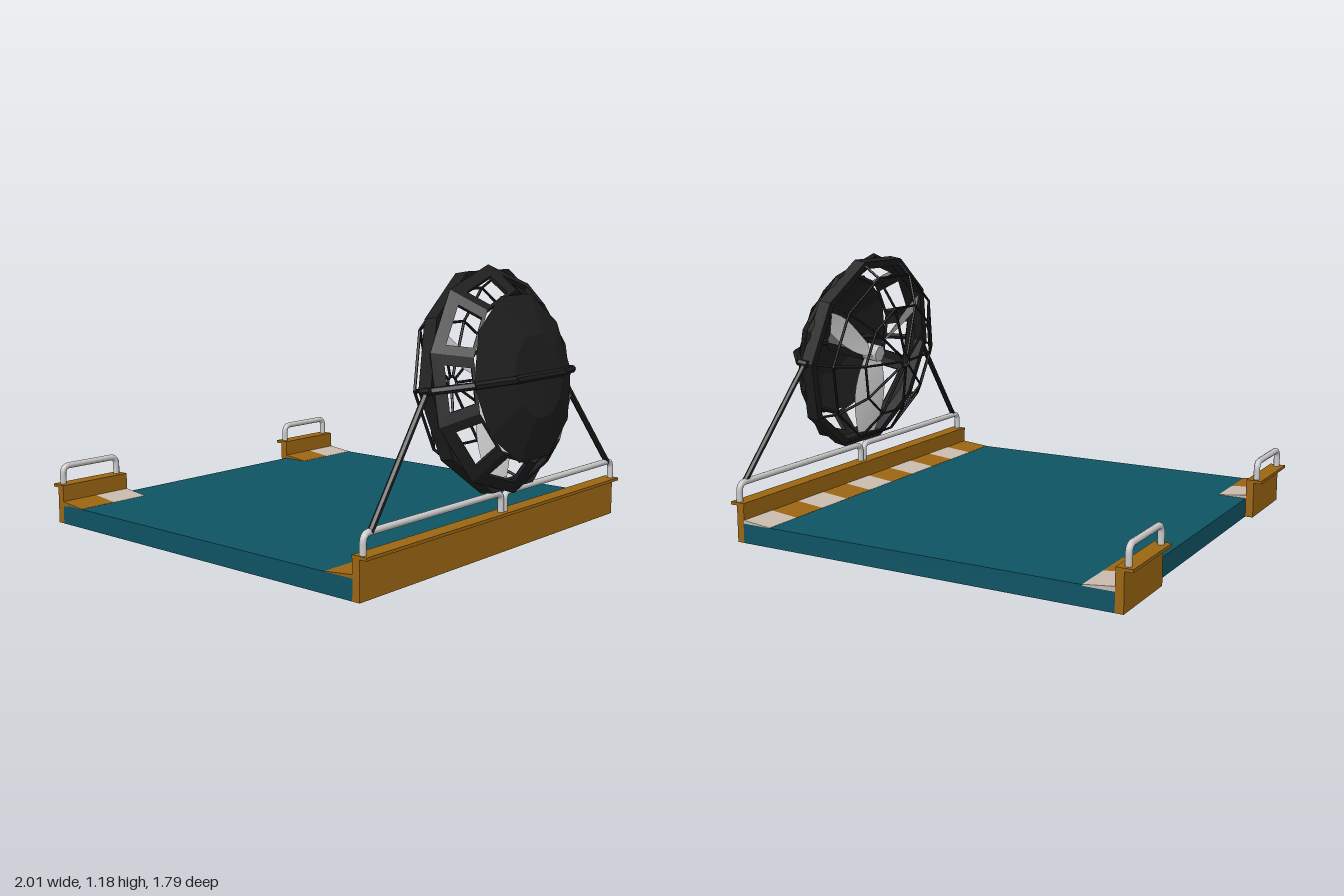
import * as THREE from 'three';

const mat = (color, extra = {}) =>
  Object.assign(new THREE.MeshStandardMaterial({ color }), extra);
const teal = mat(0x0f5464);
const orange = mat(0x9c6612);
const cream = mat(0xcabbae);
const grey = mat(0xcccccc);
const greyThin = mat(0xcccccc, { side: THREE.DoubleSide });
const black = mat(0x1e1e1e, { flatShading: true, side: THREE.DoubleSide });

const SIDES = 10;
const STEP = (Math.PI * 2) / SIDES;
const APOTHEM = Math.cos(STEP / 2);
const V = (x, y, z) => new THREE.Vector3(x, y, z);

function add(parent, name, geometry, material) {
  const mesh = new THREE.Mesh(geometry, material);
  mesh.name = name;
  parent.add(mesh);
  return mesh;
}

// Box given by its limits on each axis
function box(parent, name, [x0, x1], [y0, y1], [z0, z1], material) {
  const m = add(parent, name, new THREE.BoxGeometry(x1 - x0, y1 - y0, z1 - z0), material);
  m.position.set((x0 + x1) / 2, (y0 + y1) / 2, (z0 + z1) / 2);
  return m;
}

// Straight round bar between two points
function bar(parent, name, a, b, radius, material) {
  const d = b.clone().sub(a);
  const m = add(parent, name, new THREE.CylinderGeometry(radius, radius, d.length(), 6), material);
  m.position.copy(a).addScaledVector(d, 0.5);
  m.quaternion.setFromUnitVectors(V(0, 1, 0), d.normalize());
  return m;
}

// Thin wedge rising from x = xLow to x = xHigh
function ramp(parent, xLow, xHigh, z0, z1, material) {
  const s = new THREE.Shape();
  s.moveTo(xLow, 0.08);
  s.lineTo(xLow, 0.086);
  s.lineTo(xHigh, 0.1);
  s.lineTo(xHigh, 0.08);
  s.closePath();
  const g = new THREE.ExtrudeGeometry(s, { depth: z1 - z0, bevelEnabled: false });
  add(parent, 'rampStripe', g, material).position.z = z0;
}

// Hoop rail with rounded corners, standing on a wall
function rail(parent, x, z0, z1) {
  const y0 = 0.165, y1 = 0.252, c = 0.035;
  const path = new THREE.CurvePath();
  path.add(new THREE.LineCurve3(V(x, y0, z0), V(x, y1 - c, z0)));
  path.add(new THREE.QuadraticBezierCurve3(V(x, y1 - c, z0), V(x, y1, z0), V(x, y1, z0 + c)));
  path.add(new THREE.LineCurve3(V(x, y1, z0 + c), V(x, y1, z1 - c)));
  path.add(new THREE.QuadraticBezierCurve3(V(x, y1, z1 - c), V(x, y1, z1), V(x, y1 - c, z1)));
  path.add(new THREE.LineCurve3(V(x, y1 - c, z1), V(x, y0, z1)));
  add(parent, 'handRail', new THREE.TubeGeometry(path, 80, 0.014, 10), grey);
}

function createPlatform() {
  const g = new THREE.Group();
  g.name = 'platform';
  const E = 0.895, w = (2 * E) / 10;
  box(g, 'deck', [-0.93, 0.79], [0, 0.085], [-E, E], teal);

  // Long wall with striped ramp and two rails
  box(g, 'longWall', [0.787, 0.823], [0, 0.17], [-E, E], orange);
  box(g, 'longWallCap', [0.785, 0.855], [0.16, 0.173], [-E, E], orange);
  for (let i = 0; i < 10; i++)
    ramp(g, 0.65, 0.79, -E + i * w, -E + (i + 1) * w, i % 2 ? orange : cream);
  rail(g, 0.822, 0.012, 0.876);
  rail(g, 0.822, -0.876, -0.012);

  // Corner walls on the other side
  for (const z0 of [-E, E - 2 * w]) {
    box(g, 'cornerWall', [-0.965, -0.93], [0, 0.17], [z0, z0 + 2 * w], orange);
    box(g, 'cornerWallCap', [-1, -0.93], [0.16, 0.173], [z0, z0 + 2 * w], orange);
    ramp(g, -0.8, -0.93, z0, z0 + w, cream);
    ramp(g, -0.8, -0.93, z0 + w, z0 + 2 * w, orange);
    rail(g, -0.968, z0 + 0.03, z0 + 2 * w - 0.03);
  }
  return g;
}

// Ten-sided surface around the fan axis (local x) from [radius, x] points
function facetedRing(parent, name, points) {
  const g = new THREE.LatheGeometry(points.map(p => new THREE.Vector2(...p)), SIDES);
  add(parent, name, g, black).rotation.z = -Math.PI / 2;
}

// Slanted side panel with a window
function windowPanel(rA, uA, rB, uB) {
  const dir = V(uB - uA, (rB - rA) * APOTHEM, 0);
  const len = dir.length(), t = 0.018;
  dir.normalize();
  const half = f => THREE.MathUtils.lerp(rA, rB, f) * Math.sin(STEP / 2);
  const s = new THREE.Shape();
  s.moveTo(-half(0), 0);
  s.lineTo(half(0), 0);
  s.lineTo(half(1), len);
  s.lineTo(-half(1), len);
  s.closePath();
  const f0 = 0.3, f1 = 0.92, m = 0.042;
  const hole = new THREE.Path();
  hole.moveTo(-half(f0) + m, f0 * len);
  hole.lineTo(-half(f1) + m, f1 * len);
  hole.lineTo(half(f1) - m, f1 * len);
  hole.lineTo(half(f0) - m, f0 * len);
  hole.closePath();
  s.holes.push(hole);
  const g = new THREE.ExtrudeGeometry(s, { depth: t, bevelEnabled: false });
  g.translate(0, 0, -t);
  const z = V(0, 0, 1);
  const basis = new THREE.Matrix4().makeBasis(z, dir, z.clone().cross(dir));
  basis.setPosition(uA, rA * APOTHEM, 0);
  return g.applyMatrix4(basis);
}

function createFan() {
  const fan = new THREE.Group();
  fan.name = 'fan';

  // Housing: rim, windowed sides and domed back
  facetedRing(fan, 'rim', [[0.43, 0.03], [0.43, -0.02], [0.465, -0.02], [0.465, 0.04], [0.43, 0.03]]);
  facetedRing(fan, 'backShell', [[0.345, 0.155], [0.17, 0.222], [0.0001, 0.228]]);
  const panel = windowPanel(0.465, 0.04, 0.345, 0.155);
  for (let i = 0; i < SIDES; i++)
    add(fan, 'windowPanel', panel, black).rotation.x = (i + 0.5) * STEP;

  // Wire cage: spokes and rings
  const profile = [[0.45, -0.01], [0.4, -0.09], [0.265, -0.17], [0.03, -0.207]];
  for (let i = 0; i < SIDES; i++) {
    const at = ([r, u]) => V(u, r * Math.sin(i * STEP), r * Math.cos(i * STEP));
    for (let k = 0; k < 3; k++)
      bar(fan, 'cageSpoke', at(profile[k]), at(profile[k + 1]), 0.006, black);
  }
  for (const [r, u] of profile.slice(1)) {
    const ring = add(fan, 'cageRing', new THREE.TorusGeometry(r, 0.006, 6, SIDES), black);
    ring.rotation.y = Math.PI / 2;
    ring.position.x = u;
  }

  // Motor shaft, hub and three twisted blades
  bar(fan, 'motor', V(0.02, 0, 0), V(0.22, 0, 0), 0.05, black);
  bar(fan, 'hub', V(-0.06, 0, 0), V(0.03, 0, 0), 0.04, grey);
  for (let i = 0; i < 3; i++) {
    const blade = new THREE.PlaneGeometry(1, 0.37, 4, 8);
    const p = blade.attributes.position;
    for (let j = 0; j < p.count; j++) {
      const f = p.getY(j) / 0.37 + 0.5;
      const w = p.getX(j) * (0.05 + 0.1 * Math.sin(Math.PI * (0.1 + 0.75 * f)));
      const twist = 0.75 - 0.4 * f;
      p.setXYZ(j, -0.02 + w * Math.sin(twist), 0.03 + 0.37 * f, w * Math.cos(twist));
    }
    blade.computeVertexNormals();
    add(fan, 'blade', blade, greyThin).rotation.x = Math.PI - 0.05 + (i * Math.PI * 2) / 3;
  }

  // Strap around the back of the housing
  const half = [[0.0, 0.47], [0.045, 0.472], [0.16, 0.35], [0.226, 0.172]];
  const strap = [...half, ...half.slice().reverse().map(([u, z]) => [u, -z])];
  for (let i = 0; i < strap.length - 1; i++) {
    const [a, b] = [strap[i], strap[i + 1]].map(([u, z]) => V(u, 0, z));
    bar(fan, 'strap', a, b, 0.016, black);
  }
  fan.position.set(0.765, 0.71, 0);
  fan.rotation.z = THREE.MathUtils.degToRad(9);
  return fan;
}

export function createModel() {
  const model = new THREE.Group();
  model.name = 'fanPlatform';
  model.add(createPlatform(), createFan());
  // Struts from the rails up to the fan pivots
  for (const s of [-1, 1])
    bar(model, 'strut', V(0.825, 0.25, 0.84 * s), V(0.785, 0.71, 0.465 * s), 0.013, black);
  return model;
}
